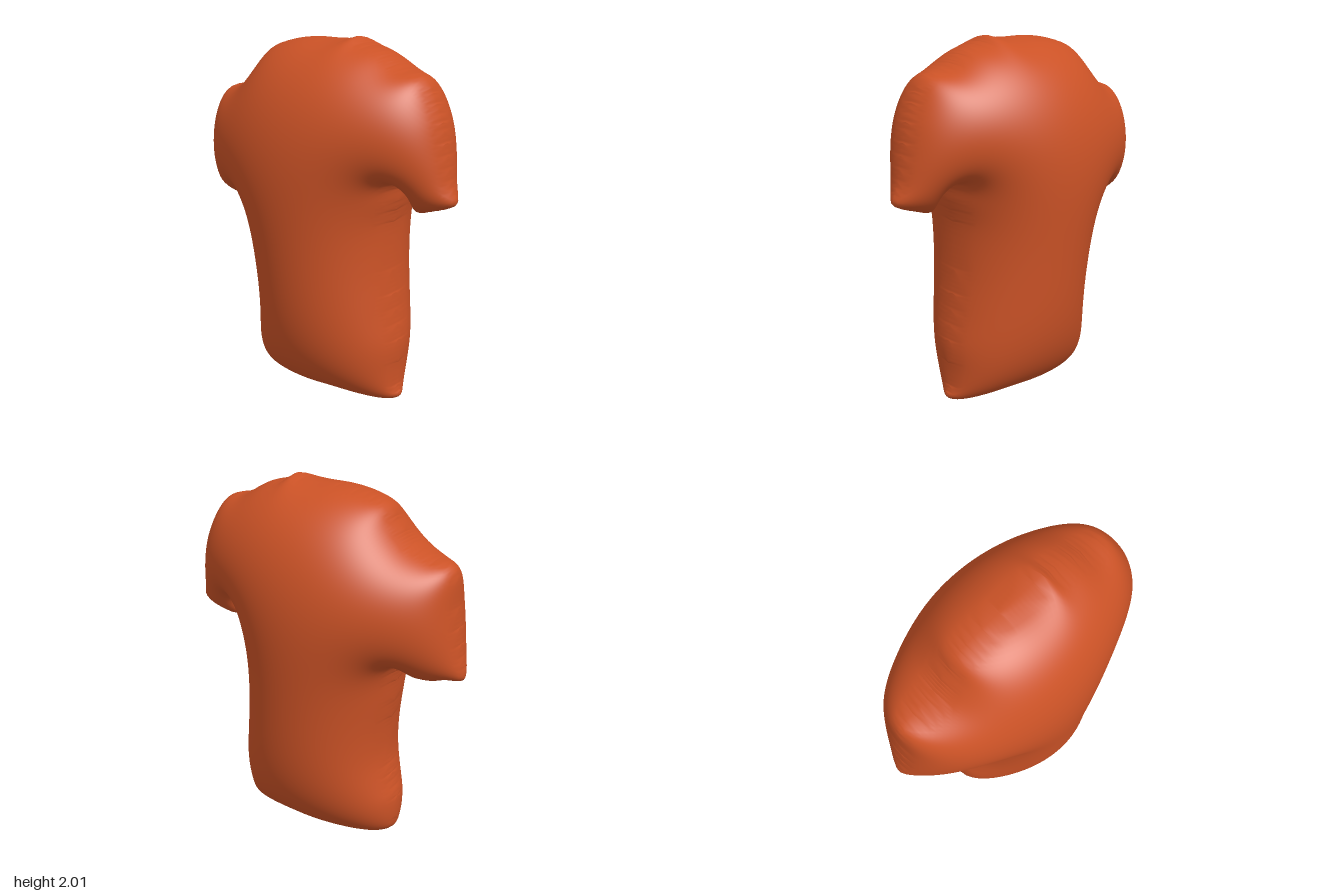
import * as THREE from 'three';
import { mergeVertices } from 'three/addons/utils/BufferGeometryUtils.js';

// Outline of the shirt, clockwise from the neck's high corner
const OUTLINE = [
  .19, 2, .23, 1.975, .35, 1.94, .485, 1.87, .60, 1.84, .635, 1.81,              // left shoulder
  .72, 1.64, .765, 1.45, .79, 1.315, .822, 1.225, .79, 1.2, .685, 1.16,          // left sleeve
  .595, 1.137, .57, 1.165, .56, 1.235, .53, 1.28, .5, 1.285, .475, 1.25,         // left armpit
  .463, 1.175, .437, 1.05, .437, .785, .463, .55, .49, .36, .485, .19,           // left side
  .49, .1, .505, .06, .475, .03, .38, .015, .11, .012, .03, 0, -.325, 0,         // hem
  -.405, .02, -.447, .05, -.463, .115, -.463, .245, -.437, .335, -.405, .485,    // right side
  -.405, .655, -.426, .84, -.442, .98, -.463, 1.05, -.49, 1.078, -.515, 1.06,    // right armpit
  -.532, 1.015, -.56, 1.01, -.68, 1.012, -.733, 1.03, -.817, 1.035, -.828, 1.06, // right cuff
  -.807, 1.185, -.775, 1.42, -.76, 1.59, -.733, 1.635, -.627, 1.67, -.505, 1.73, // right sleeve
  -.426, 1.82, -.373, 1.9, -.283, 1.94, -.125, 1.972, .06, 1.978, .14, 1.988,    // neck
];
const STEP = 0.0125, X0 = -0.875, Y0 = -0.05, COLS = 141, ROWS = 170;
const MAX_DEPTH = 0.478;

function outlinePoints() {
  const pts = [];
  for (let i = 0; i < OUTLINE.length; i += 2) pts.push(new THREE.Vector3(OUTLINE[i], OUTLINE[i + 1], 0));
  return new THREE.CatmullRomCurve3(pts, true, 'centripetal').getPoints(360);
}

// Distance to the outline, positive inside
function signedDistance(x, y, pts) {
  let best = Infinity, inside = false;
  for (let i = 0; i < pts.length - 1; i++) {
    const a = pts[i], b = pts[i + 1], dx = b.x - a.x, dy = b.y - a.y;
    const t = Math.min(1, Math.max(0, ((x - a.x) * dx + (y - a.y) * dy) / (dx * dx + dy * dy || 1)));
    best = Math.min(best, Math.hypot(x - a.x - t * dx, y - a.y - t * dy));
    if ((a.y > y) !== (b.y > y) && x < a.x + (y - a.y) * dx / dy) inside = !inside;
  }
  return inside ? best : -best;
}

// Pillow height: relax a membrane held at the outline, then take its square root
function inflate(dist) {
  const u = new Float64Array(COLS * ROWS), cells = [];
  for (let k = 0; k < u.length; k++) {
    if (dist[k] <= 0) continue;
    let diagonal = 4;
    const near = [];
    for (const n of [k - 1, k + 1, k - COLS, k + COLS]) {
      if (dist[n] > 0) near.push(n);
      else diagonal -= dist[n] / Math.max(dist[k], STEP * 0.05);
    }
    cells.push({ k, near, diagonal });
  }
  for (let pass = 0; pass < 900; pass++) {
    for (const { k, near, diagonal } of cells) {
      let sum = 2 * STEP * STEP;
      for (const n of near) sum += u[n];
      u[k] += 1.93 * (sum / diagonal - u[k]);
    }
  }
  let top = 0;
  for (const v of u) top = Math.max(top, v);
  return u.map((v) => MAX_DEPTH * Math.sqrt(Math.max(0, v) / top));
}

function shirtGeometry() {
  const pts = outlinePoints();
  const dist = new Float64Array(COLS * ROWS);
  for (let k = 0; k < dist.length; k++) {
    dist[k] = signedDistance(X0 + (k % COLS) * STEP, Y0 + Math.floor(k / COLS) * STEP, pts);
  }
  const depth = inflate(dist);
  const node = (k) => ({ x: X0 + (k % COLS) * STEP, y: Y0 + Math.floor(k / COLS) * STEP, z: depth[k], d: dist[k] });
  const positions = [];

  // Trim a triangle to the outline and add it to front and back
  const addTriangle = (...ids) => {
    if (ids.every((k) => dist[k] <= 0)) return;
    const tri = ids.map(node), poly = [];
    tri.forEach((a, i) => {
      const b = tri[(i + 1) % 3];
      if (a.d > 0) poly.push(a);
      if ((a.d > 0) !== (b.d > 0)) {
        const t = a.d / (a.d - b.d);
        poly.push({ x: a.x + t * (b.x - a.x), y: a.y + t * (b.y - a.y), z: 0 });
      }
    });
    for (let i = 1; i < poly.length - 1; i++) {
      const [a, b, c] = [poly[0], poly[i], poly[i + 1]];
      for (const p of [a, b, c]) positions.push(p.x, p.y, p.z);
      for (const p of [a, c, b]) positions.push(p.x, p.y, -p.z);
    }
  };
  for (let r = 0; r < ROWS - 1; r++) {
    for (let c = 0; c < COLS - 1; c++) {
      const k = r * COLS + c;
      if ((r + c) % 2) {
        addTriangle(k, k + 1, k + COLS + 1);
        addTriangle(k, k + COLS + 1, k + COLS);
      } else {
        addTriangle(k, k + 1, k + COLS);
        addTriangle(k + 1, k + COLS + 1, k + COLS);
      }
    }
  }
  const geometry = new THREE.BufferGeometry();
  geometry.setAttribute('position', new THREE.Float32BufferAttribute(positions, 3));
  const smooth = mergeVertices(geometry, 1e-4);
  smooth.computeVertexNormals();
  return smooth;
}

export function createModel() {
  const fabric = new THREE.MeshStandardMaterial({ color: 0xcb5226 });
  fabric.name = 'rust orange fabric';
  const shirt = new THREE.Mesh(shirtGeometry(), fabric);
  shirt.name = 'shirt';
  const group = new THREE.Group();
  group.name = 'inflatedShirt';
  group.add(shirt);
  return group;
}
